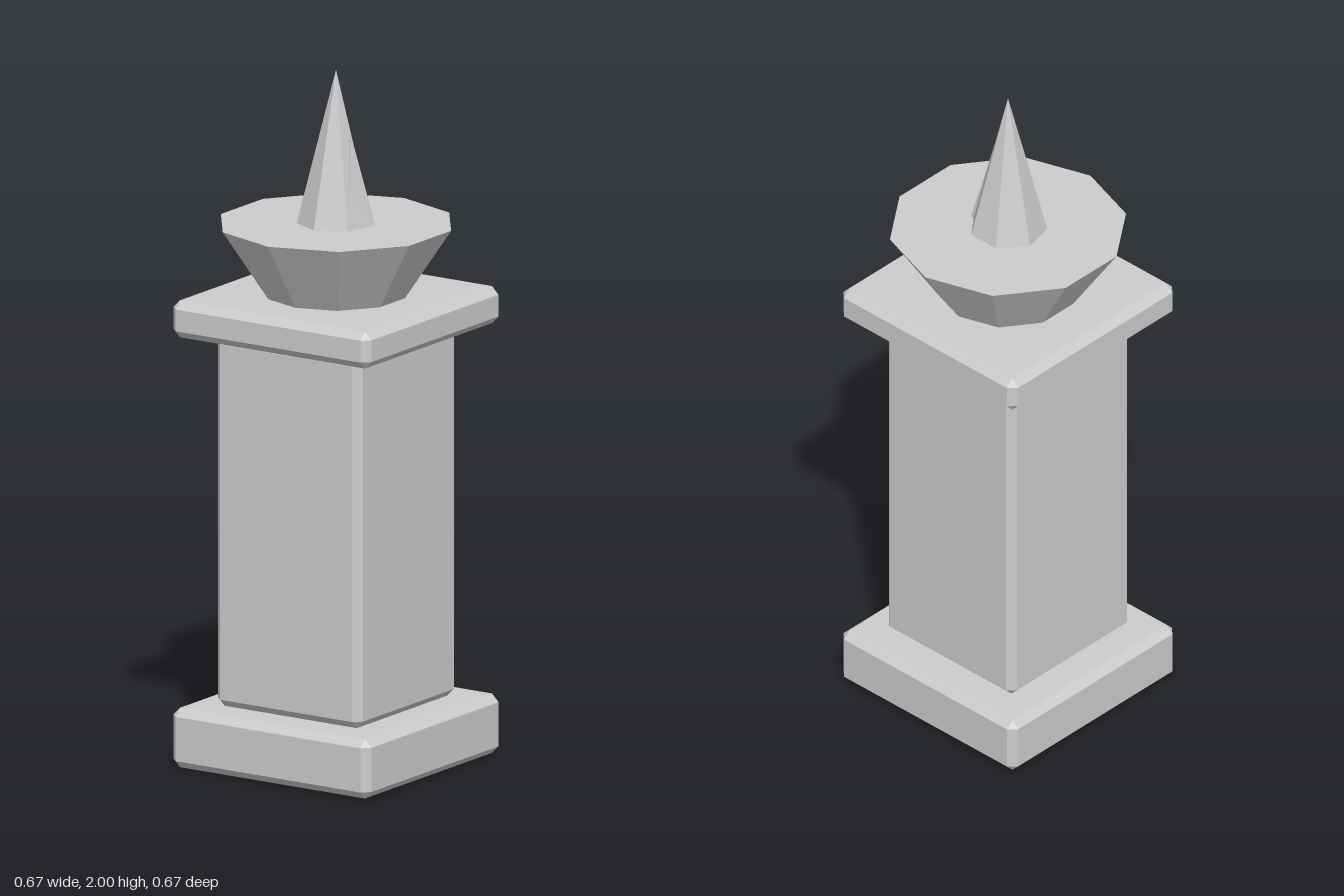
import * as THREE from 'three';
import { ConvexGeometry } from 'three/addons/geometries/ConvexGeometry.js';

// Box with flat chamfers on every edge and corner
function chamferedBox(w, h, d, c) {
  const points = [];
  for (const x of [-1, 1]) for (const y of [-1, 1]) for (const z of [-1, 1]) {
    for (let axis = 0; axis < 3; axis++) {
      const p = [w / 2 - c, h / 2 - c, d / 2 - c];
      p[axis] += c;
      points.push(new THREE.Vector3(x * p[0], y * p[1], z * p[2]));
    }
  }
  return new ConvexGeometry(points);
}

export function createModel() {
  const group = new THREE.Group();
  const stone = new THREE.MeshStandardMaterial({ color: 0xcccccc, flatShading: true });
  stone.name = 'stone grey';

  const add = (name, geometry, bottom, height, x = 0) => {
    const mesh = new THREE.Mesh(geometry, stone);
    mesh.name = name;
    mesh.position.set(x, bottom + height / 2, 0);
    group.add(mesh);
    return mesh;
  };

  // Square pillar: base, shaft and cap
  for (const [name, width, bottom, top] of [
    ['base', 0.674, 0, 0.172],
    ['shaft', 0.494, 0.172, 1.245],
    ['cap', 0.674, 1.245, 1.352],
  ]) {
    add(name, chamferedBox(width, top - bottom, width, 0.022), bottom, top - bottom);
  }

  // Ten-sided fire bowl
  add('bowl', new THREE.CylinderGeometry(0.337, 0.202, 0.205, 10), 1.352, 0.205);

  // Main flame with a small tongue breaking through its side
  add('flame', new THREE.ConeGeometry(0.111, 0.445, 7), 1.555, 0.445);
  const tongue = add('flameTongue', new THREE.ConeGeometry(0.07, 0.265, 4), 1.555, 0.265, 0.05);
  tongue.rotation.y = THREE.MathUtils.degToRad(120);

  return group;
}
